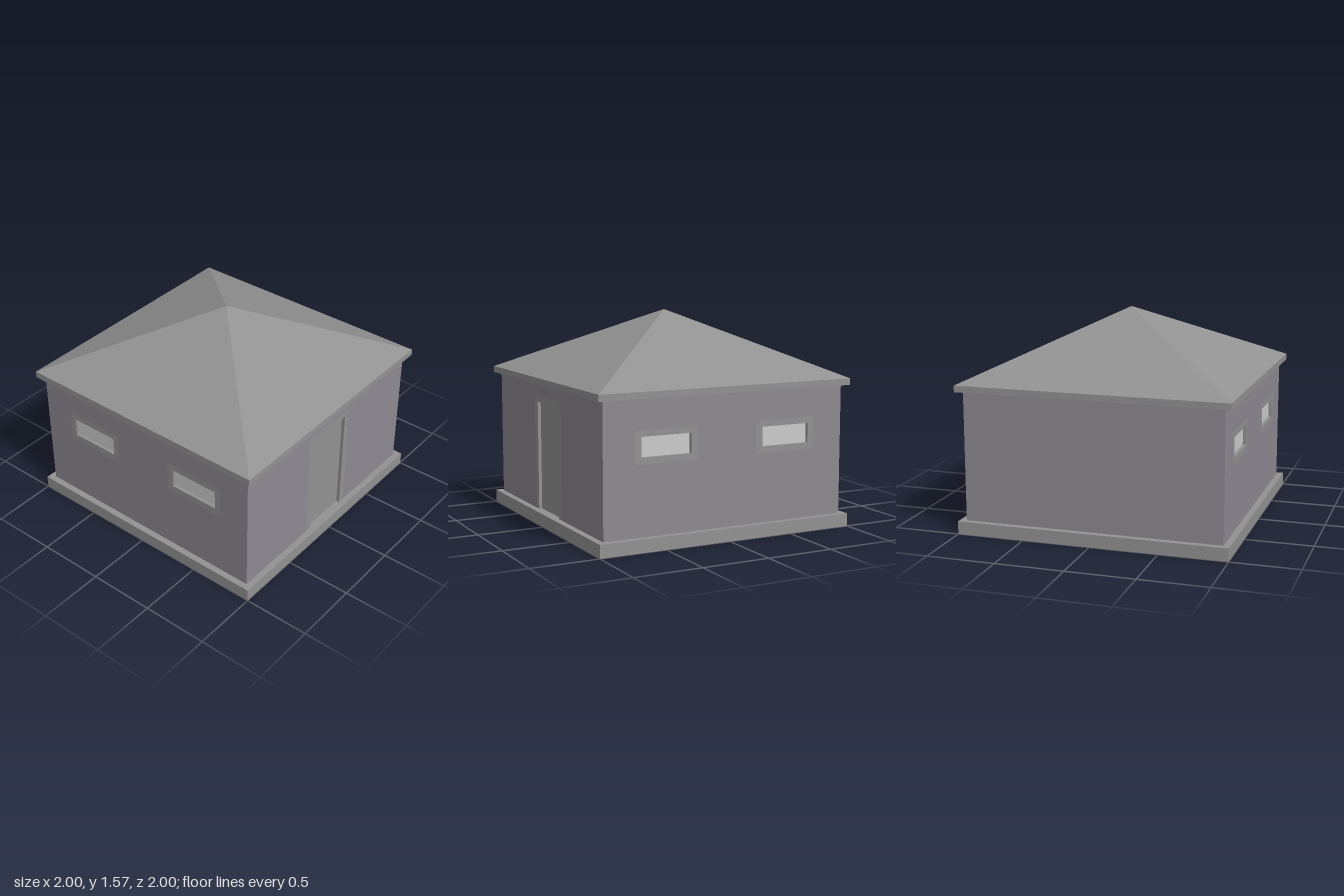
import * as THREE from 'three';

const U = 2 / 21;                 // building module
const OUT = 10 * U;               // wall half width
const T = U / 2;                  // frame width and overhang
const RECESS = U / 4;             // depth of window and door recesses
const Y0 = U, Y1 = 11 * U;        // foot and top of the walls

// The building is one thin shell, open underneath
const mat = (color) =>
  new THREE.MeshStandardMaterial({ color, side: THREE.DoubleSide, flatShading: true });

function mesh(name, geometry, material) {
  const m = new THREE.Mesh(geometry, material);
  m.name = name;
  return m;
}

// Square shell swept from a [half width, y] profile
function squareSweep(profile) {
  const pts = profile.map(([r, y]) => new THREE.Vector2(r * Math.SQRT2, y));
  return new THREE.LatheGeometry(pts, 4, Math.PI / 4);
}

const points = (list) => list.map(([x, y]) => new THREE.Vector2(x, y));
const rect = (x0, y0, x1, y1) => points([[x0, y0], [x1, y0], [x1, y1], [x0, y1]]);

// Flat panel lying in the wall plane, or behind it
const panel = (shape, inset = 0) =>
  new THREE.ShapeGeometry(shape).translate(0, 0, OUT - inset);

// Four reveal faces around a rectangular opening
function reveal(x0, y0, x1, y1) {
  return new THREE.CylinderGeometry(Math.SQRT1_2, Math.SQRT1_2, RECESS, 4, 1, true, Math.PI / 4)
    .rotateX(Math.PI / 2)
    .scale(x1 - x0, y1 - y0, 1)
    .translate((x0 + x1) / 2, (y0 + y1) / 2, OUT - RECESS / 2);
}

export function createModel() {
  const model = new THREE.Group();
  const grey = mat(0x929292);
  const wallMat = mat(0x8d8991);
  const glass = mat(0xcccccc);

  // Base step around the foot of the walls
  model.add(mesh('base', squareSweep([[1, 0], [1, Y0], [OUT, Y0]]), grey));

  // Eave and pyramid roof
  model.add(mesh('roof', squareSweep(
    [[OUT, Y1], [1, Y1], [1, Y1 + T], [0, 16.5 * U]]), grey));

  // Front and back walls, each with two framed windows
  const wy0 = 6.75 * U, wy1 = 8.25 * U, hw = 2 * U;
  for (const [side, turn] of [['front', 0], ['back', Math.PI]]) {
    const group = new THREE.Group();
    group.name = side + 'Side';
    const wall = new THREE.Shape(rect(-OUT, Y0, OUT, Y1));
    for (const cx of [-5 * U, 5 * U]) {
      const outer = rect(cx - hw - T, wy0 - T, cx + hw + T, wy1 + T);
      const inner = rect(cx - hw, wy0, cx + hw, wy1);
      wall.holes.push(new THREE.Path(outer));
      const frame = new THREE.Shape(outer);
      frame.holes.push(new THREE.Path(inner));
      group.add(mesh('windowFrame', panel(frame), grey));
      group.add(mesh('windowReveal', reveal(cx - hw, wy0, cx + hw, wy1), grey));
      group.add(mesh('windowPane', panel(new THREE.Shape(inner), RECESS), glass));
    }
    group.add(mesh(side + 'Wall', panel(wall), wallMat));
    group.rotation.y = turn;
    model.add(group);
  }

  // Door side, facing +x: wall, frame and recessed door
  const dw = 2 * U, dTop = 9.5 * U;
  const portal = (w, top, W, TOP) => new THREE.Shape(points([
    [-W, Y0], [-w, Y0], [-w, top], [w, top], [w, Y0], [W, Y0], [W, TOP], [-W, TOP],
  ]));
  const doorSide = new THREE.Group();
  doorSide.name = 'doorSide';
  doorSide.add(
    mesh('doorWall', panel(portal(dw + T, dTop + T, OUT, Y1)), wallMat),
    mesh('doorFrame', panel(portal(dw, dTop, dw + T, dTop + T)), grey),
    mesh('doorReveal', reveal(-dw, Y0, dw, dTop), grey),
    mesh('door', panel(new THREE.Shape(rect(-dw, Y0, dw, dTop)), RECESS), grey),
  );
  doorSide.rotation.y = Math.PI / 2;
  model.add(doorSide);

  // Plain wall on the opposite side
  const plain = mesh('plainWall', panel(new THREE.Shape(rect(-OUT, Y0, OUT, Y1))), wallMat);
  plain.rotation.y = -Math.PI / 2;
  model.add(plain);

  return model;
}
